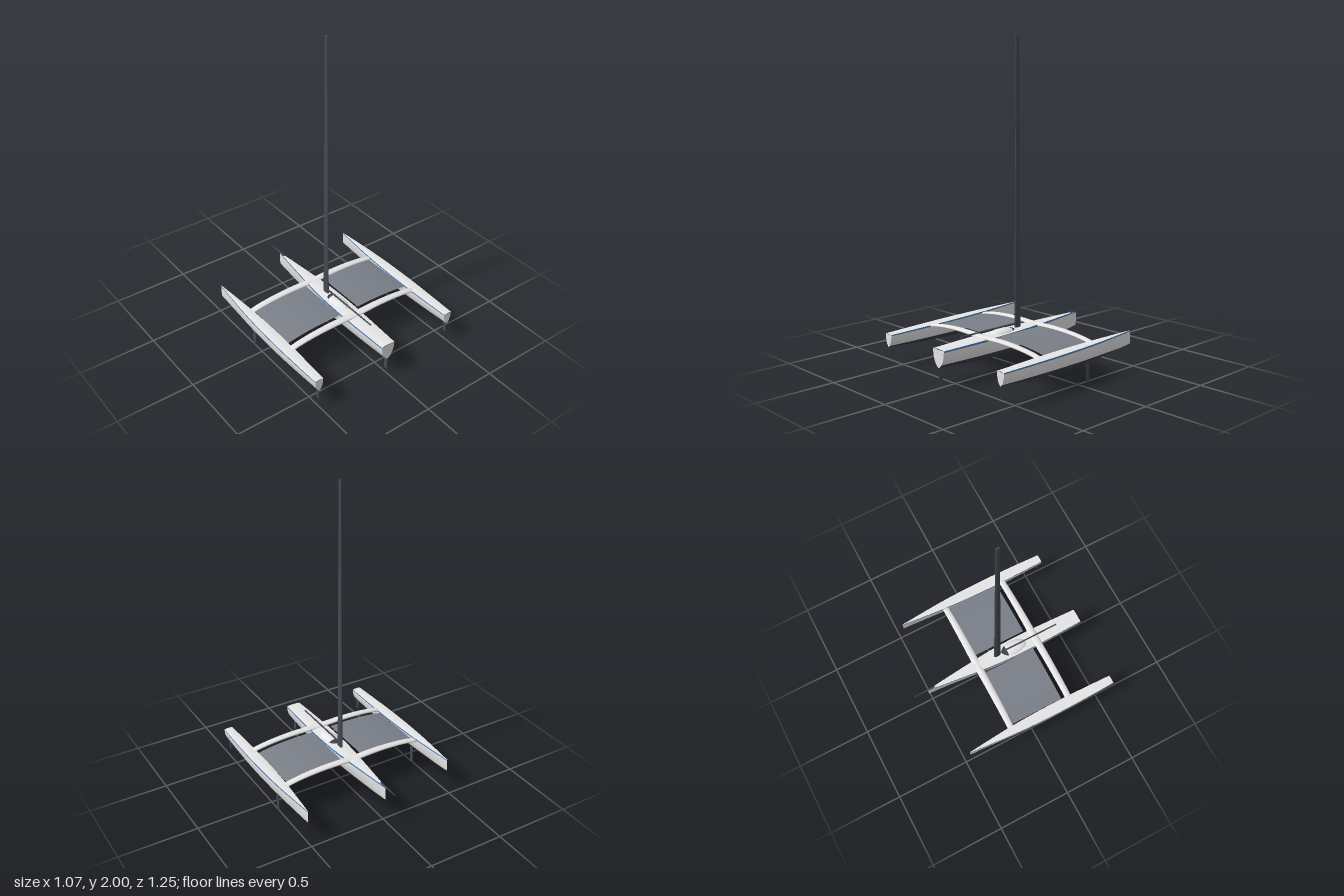
import * as THREE from 'three';

const mat = (name, color, side = THREE.FrontSide) => {
  const m = new THREE.MeshStandardMaterial({ color, side });
  m.name = name;
  return m;
};

// Smooth skin through rows of [x, y, z] points
function loft(rows) {
  const n = rows[0].length, index = [];
  for (let i = 0; i < rows.length - 1; i++) {
    for (let j = 0; j < n - 1; j++) {
      const a = i * n + j, b = a + 1, d = a + n, c = d + 1;
      index.push(a, b, d, b, c, d);
    }
  }
  const g = new THREE.BufferGeometry();
  g.setAttribute('position', new THREE.Float32BufferAttribute(rows.flat(2), 3));
  g.setIndex(index);
  g.computeVertexNormals();
  return g;
}

// Numbers from a to b in n steps
const steps = (a, b, n) => Array.from({ length: n + 1 }, (_, i) => a + (b - a) * i / n);

export function createModel() {
  const white = mat('hullWhite', 0xe6e6e6);
  const blue = mat('stripeBlue', 0x4a84c8);
  const bottomGrey = mat('bottomPaint', 0x3a3d45);
  const carbon = mat('carbon', 0x444952);
  const netGrey = mat('netGrey', 0x7a7f88, THREE.DoubleSide);
  const glass = mat('windowDark', 0x3a414b);

  const model = new THREE.Group();
  model.name = 'trimaran';
  const add = (name, geometry, material, parent = model) => {
    const m = new THREE.Mesh(geometry, material);
    m.name = name;
    parent.add(m);
    return m;
  };

  const WATERLINE = 0.14, STRIPE = 0.09;
  // Hull width fraction at a depth fraction
  const fullness = v => Math.pow(Math.max(1 - Math.pow(v, 2.2), 0), 0.68);

  // stations: z, half width, keel height, from stern to bow
  function hull(name, x, stations, deckStern, deckBow) {
    const g = new THREE.Group();
    g.name = name;
    g.position.x = x;
    model.add(g);
    const curve = new THREE.CatmullRomCurve3(stations.map(s => new THREE.Vector3(...s)));
    const z0 = stations[0][0], z1 = stations[stations.length - 1][0];
    const st = curve.getPoints(40).map(p => {
      const k = (z0 - p.x) / (z0 - z1);
      const deck = deckStern + (deckBow - deckStern) * k;
      const water = Math.min((deck - WATERLINE) / (deck - p.z), 1);
      return { z: p.x, w: Math.max(p.y, 0), keel: p.z, deck, water };
    });
    const at = (s, side, v) => [side * s.w * fullness(v), s.deck + (s.keel - s.deck) * v, s.z];
    const under = s => steps(0, Math.PI / 2, 8).map(t => s.water + (1 - s.water) * Math.sin(t));

    // Stripe and topsides on both sides, down to the waterline
    for (const side of [1, -1]) {
      const label = side > 0 ? 'left' : 'right';
      const strip = depths => loft(st.map(s => {
        const row = depths(s).map(v => at(s, side, v));
        return side > 0 ? row : row.reverse();
      }));
      add(label + 'Stripe', strip(() => [0, STRIPE]), blue, g);
      add(label + 'Topside', strip(s => steps(STRIPE, s.water, 10)), white, g);
    }
    // Painted bottom below the waterline
    add('bottom', loft(st.map(s => [
      ...under(s).map(v => at(s, 1, v)),
      ...under(s).reverse().slice(1).map(v => at(s, -1, v)),
    ])), bottomGrey, g);
    // Slightly cambered deck
    add('deck', loft(st.map(s => [-1, -0.5, 0, 0.5, 1].map(u =>
      [u * s.w, s.deck + 0.08 * s.w * (1 - u * u), s.z]))), white, g);
    const depths = steps(0, Math.PI / 2, 14).map(Math.sin);
    const outline = [...depths.map(v => at(st[0], 1, v)), ...depths.reverse().slice(1).map(v => at(st[0], -1, v))]
      .map(p => new THREE.Vector2(p[0], p[1]));
    add('transom', new THREE.ShapeGeometry(new THREE.Shape(outline)), white, g).position.z = z0;
  }

  hull('mainHull', 0, [[0.622, 0.048, 0.12], [0.4, 0.056, 0.104], [0.2, 0.06, 0.096], [0, 0.055, 0.096],
    [-0.2, 0.037, 0.11], [-0.36, 0.02, 0.132], [-0.52, 0.001, 0.157]], 0.228, 0.248);
  for (const s of [1, -1]) {
    hull(s > 0 ? 'leftFloat' : 'rightFloat', s * 0.5, [[0.605, 0.028, 0.132], [0.4, 0.034, 0.118],
      [0.2, 0.037, 0.11], [0, 0.034, 0.111], [-0.17, 0.026, 0.12], [-0.32, 0.014, 0.134], [-0.465, 0.001, 0.15]], 0.212, 0.232);
  }

  // Arch followed by the crossbeams and nets
  const arch = new THREE.SplineCurve([[0, 0.235], [0.1, 0.239], [0.2, 0.24], [0.32, 0.234], [0.42, 0.222], [0.49, 0.207]]
    .map(p => new THREE.Vector2(...p)));
  const half = arch.getPoints(20);
  const spine = [...half.slice(1).reverse().map(p => [-p.x, p.y]), ...half.map(p => [p.x, p.y])];

  for (const [name, z] of [['frontBeam', -0.148], ['rearBeam', 0.288]]) {
    const rows = spine.map(([x, y], i) => {
      const end = i === 0 || i === spine.length - 1;
      const r = end ? 0.35 : 1 - 0.35 * Math.abs(x);
      return steps(0, Math.PI * 2, 16).map(t => [x, y + 0.012 * r * Math.cos(t), z + 0.026 * r * Math.sin(t)]);
    });
    const cap = row => row.map(p => [p[0], 0.207, z]);
    add(name, loft([cap(rows[0]), ...rows, cap(rows[rows.length - 1])]), white);
  }

  // Trampoline nets
  const heightAt = x => {
    const i = half.findIndex(p => p.x >= Math.abs(x));
    const a = half[i - 1], b = half[i];
    return a.y + (b.y - a.y) * (Math.abs(x) - a.x) / (b.x - a.x);
  };
  for (const [name, from, to] of [['leftNet', 0.07, 0.46], ['rightNet', -0.46, -0.07]]) {
    add(name, loft(steps(from, to, 12).map(x => [[x, heightAt(x), -0.125], [x, heightAt(x), 0.24]])), netGrey);
  }

  // Cabin with a wraparound front window
  const cabin = add('cabin', new THREE.SphereGeometry(1, 32, 20), white);
  cabin.scale.set(0.049, 0.03, 0.098);
  cabin.position.set(0, 0.229, 0.127);
  const pane = new THREE.SphereGeometry(1.015, 32, 10, 0, Math.PI * 2, 0, 1.0).rotateX(-Math.PI / 2);
  const windowMesh = add('cabinWindow', pane, glass);
  windowMesh.scale.copy(cabin.scale);
  windowMesh.position.copy(cabin.position);

  // Wing mast, boom and bowsprit
  const mast = add('mast', new THREE.CylinderGeometry(0.013, 0.025, 1.77, 20), carbon);
  mast.scale.x = 0.38;
  mast.position.set(0, 1.115, 0.003);
  const boom = add('boom', new THREE.CylinderGeometry(0.0045, 0.006, 0.455, 12).rotateX(Math.PI / 2), carbon);
  boom.position.set(0, 0.268, 0.2275);
  const sprit = add('bowsprit', new THREE.CylinderGeometry(0.0025, 0.006, 0.155, 12).rotateX(-Math.PI / 2), carbon);
  sprit.position.set(0, 0.251, -0.5475);

  // Thin foils: tapered and swept blades
  function blade(name, x, z, top, bottom, chord, sweep) {
    const h = top - bottom;
    const g = new THREE.CylinderGeometry(chord / 2, chord * 0.36, h, 16);
    g.scale(0.16, 1, 1);
    const p = g.attributes.position;
    for (let i = 0; i < p.count; i++) p.setZ(i, p.getZ(i) + sweep * (0.5 - p.getY(i) / h));
    g.computeVertexNormals();
    add(name, g, carbon).position.set(x, (top + bottom) / 2, z);
  }
  blade('mainRudder', 0, 0.6, 0.15, 0.036, 0.038, 0.008);
  for (const s of [1, -1]) {
    const side = s > 0 ? 'left' : 'right';
    blade(side + 'Rudder', s * 0.5, 0.583, 0.15, 0.06, 0.03, 0.006);
    blade(side + 'Daggerboard', s * 0.5, -0.08, 0.14, 0, 0.036, -0.008);
  }

  return model;
}
